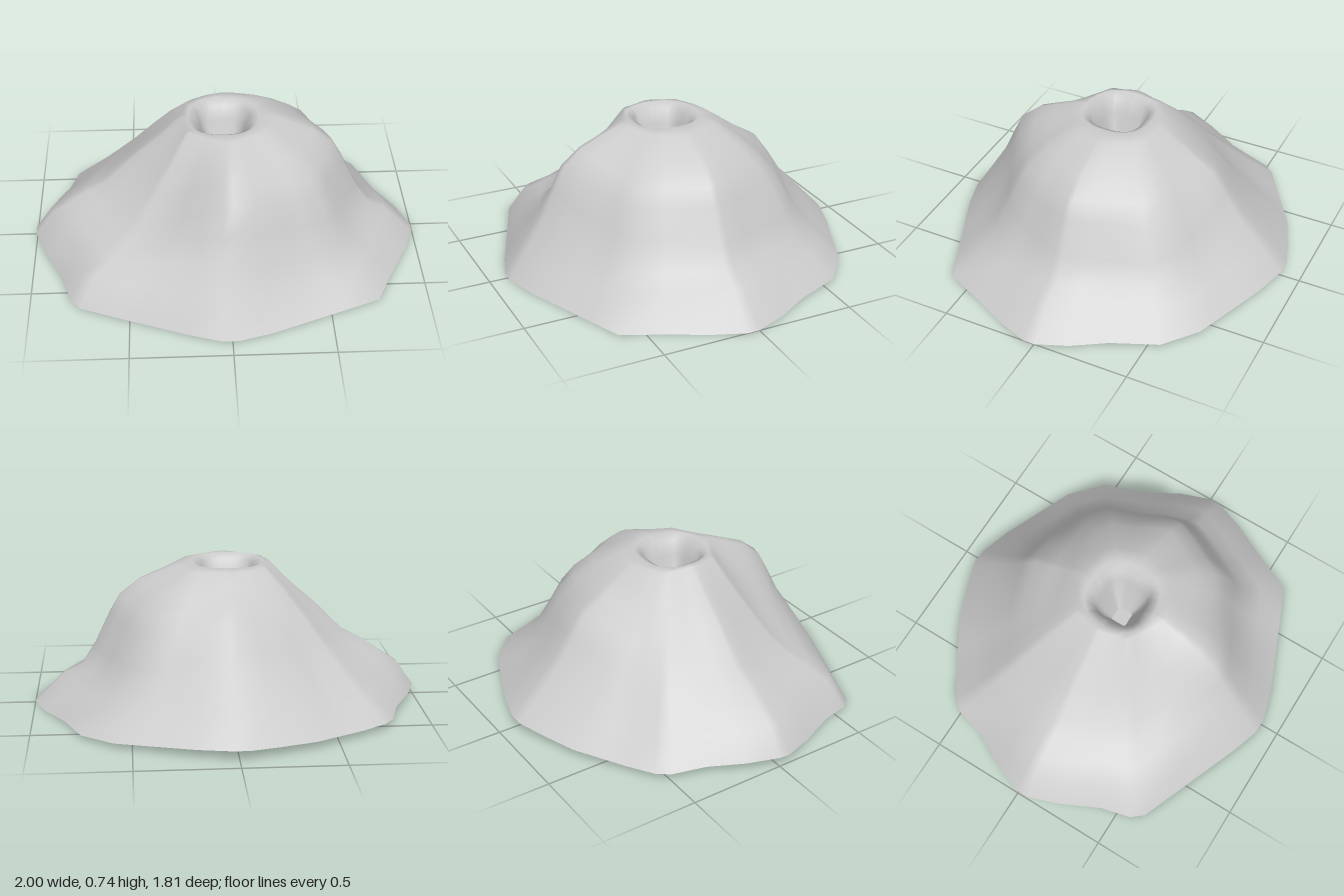
import * as THREE from 'three';

// Ground outline [x, z], from the left side round past the front
const OUTLINE = [
  [1, 0], [1, 0.06], [0.94, 0.22], [0.84, 0.42], [0.75, 0.62], [0.2, 0.85], [0.03, 0.9],
  [-0.05, 0.9], [-0.2, 0.85], [-0.75, 0.63], [-0.8, 0.57], [-0.84, 0.42], [-0.94, 0.22], [-1, 0.06],
  [-1, 0], [-0.94, -0.16], [-0.85, -0.33], [-0.8, -0.5], [-0.75, -0.56], [-0.38, -0.79], [-0.2, -0.86],
  [-0.05, -0.91], [0.03, -0.91], [0.2, -0.86], [0.59, -0.7], [0.75, -0.56], [0.84, -0.33], [0.94, -0.16],
];

// Slope profiles [radius, height] every 45 degrees, from the ground up to the rim
const PROFILES = [
  [[1, 0], [0.84, 0.16], [0.75, 0.2], [0.68, 0.31], [0.6, 0.48], [0.55, 0.57], [0.45, 0.65], [0.26, 0.73]],
  [[0.97, 0], [0.82, 0.11], [0.72, 0.2], [0.64, 0.35], [0.58, 0.47], [0.52, 0.55], [0.42, 0.64], [0.26, 0.73]],
  [[0.9, 0], [0.8, 0.16], [0.7, 0.32], [0.64, 0.45], [0.58, 0.57], [0.48, 0.65], [0.38, 0.69], [0.26, 0.735]],
  [[0.98, 0], [0.88, 0.14], [0.76, 0.2], [0.66, 0.25], [0.56, 0.33], [0.46, 0.45], [0.36, 0.58], [0.25, 0.73]],
  [[1, 0.05], [0.91, 0.18], [0.82, 0.24], [0.72, 0.31], [0.62, 0.36], [0.47, 0.51], [0.32, 0.64], [0.22, 0.74]],
  [[0.94, 0.03], [0.82, 0.12], [0.72, 0.22], [0.62, 0.33], [0.54, 0.43], [0.46, 0.52], [0.36, 0.63], [0.24, 0.73]],
  [[0.91, 0.05], [0.78, 0.19], [0.65, 0.33], [0.58, 0.44], [0.5, 0.55], [0.38, 0.62], [0.28, 0.69], [0.22, 0.73]],
  [[0.94, 0.02], [0.82, 0.12], [0.74, 0.2], [0.68, 0.3], [0.6, 0.45], [0.52, 0.55], [0.42, 0.63], [0.26, 0.73]],
];

// Crater rings [half width, height, squareness exponent]
const CRATER = [[0.18, 0.74, 2.4], [0.135, 0.715, 3], [0.112, 0.64, 4], [0.075, 0.53, 6], [0.04, 0.45, 16]];
const CRATER_X = -0.01, CRATER_Z = 0.03;

// Split the long outline edges so that the slopes stay round
function columns() {
  const out = [];
  OUTLINE.forEach((p, i) => {
    const q = OUTLINE[(i + 1) % OUTLINE.length];
    out.push(p);
    if (Math.hypot(q[0] - p[0], q[1] - p[1]) > 0.25)
      for (const t of [1 / 3, 2 / 3]) out.push([p[0] + (q[0] - p[0]) * t, p[1] + (q[1] - p[1]) * t]);
  });
  return out;
}

// Slope point at one level, blended between the two nearest profiles
function slopePoint([x, z], level) {
  const turn = ((Math.atan2(z, x) / (Math.PI / 4)) + 8) % 8;
  const k = Math.floor(turn), t = turn - k;
  const a = PROFILES[k], b = PROFILES[(k + 1) % 8];
  const f = THREE.MathUtils.lerp(a[level][0] / a[0][0], b[level][0] / b[0][0], t);
  return [x * f, THREE.MathUtils.lerp(a[level][1], b[level][1], t), z * f + 0.015 * (1 - f)];
}

// Rounded-square crater point in the direction of an outline point
function craterPoint([x, z], [half, y, n]) {
  const a = Math.atan2(z, x), c = Math.cos(a), s = Math.sin(a);
  const r = half / Math.pow(Math.abs(c) ** n + Math.abs(s) ** n, 1 / n);
  return [CRATER_X + r * c, y, CRATER_Z + r * s];
}

// Skin a stack of closed rings
function skin(rings) {
  const n = rings[0].length, index = [];
  for (let j = 0; j < rings.length - 1; j++)
    for (let i = 0; i < n; i++) {
      const a = j * n + i, b = j * n + (i + 1) % n;
      index.push(a, a + n, b, b, a + n, b + n);
    }
  return geometry(rings.flat(), index);
}

// Close one ring with a fan around a centre
function cap(ring, centre, up) {
  const n = ring.length, index = [];
  for (let i = 0; i < n; i++) {
    const k = (i + 1) % n;
    index.push(...(up ? [i, n, k] : [i, k, n]));
  }
  return geometry([...ring, centre], index);
}

function geometry(points, index) {
  const g = new THREE.BufferGeometry();
  g.setAttribute('position', new THREE.Float32BufferAttribute(points.flat(), 3));
  g.setIndex(index);
  g.computeVertexNormals();
  return g;
}

export function createModel() {
  const group = new THREE.Group();
  group.name = 'craterMound';
  const material = new THREE.MeshStandardMaterial({ color: 0xcccccc });
  const add = (name, geo) => {
    const mesh = new THREE.Mesh(geo, material);
    mesh.name = name;
    group.add(mesh);
  };

  const cols = columns();
  const slopes = PROFILES[0].map((_, level) => cols.map((p) => slopePoint(p, level)));
  const crater = CRATER.map((ring) => cols.map((p) => craterPoint(p, ring)));

  // Slopes run over the rim and down into the crater as one smooth skin
  add('moundAndCrater', skin([...slopes, ...crater]));
  add('craterFloor', cap(crater.at(-1), [CRATER_X, CRATER.at(-1)[1], CRATER_Z], true));
  add('underside', cap(slopes[0], [0, 0, 0], false));
  return group;
}
